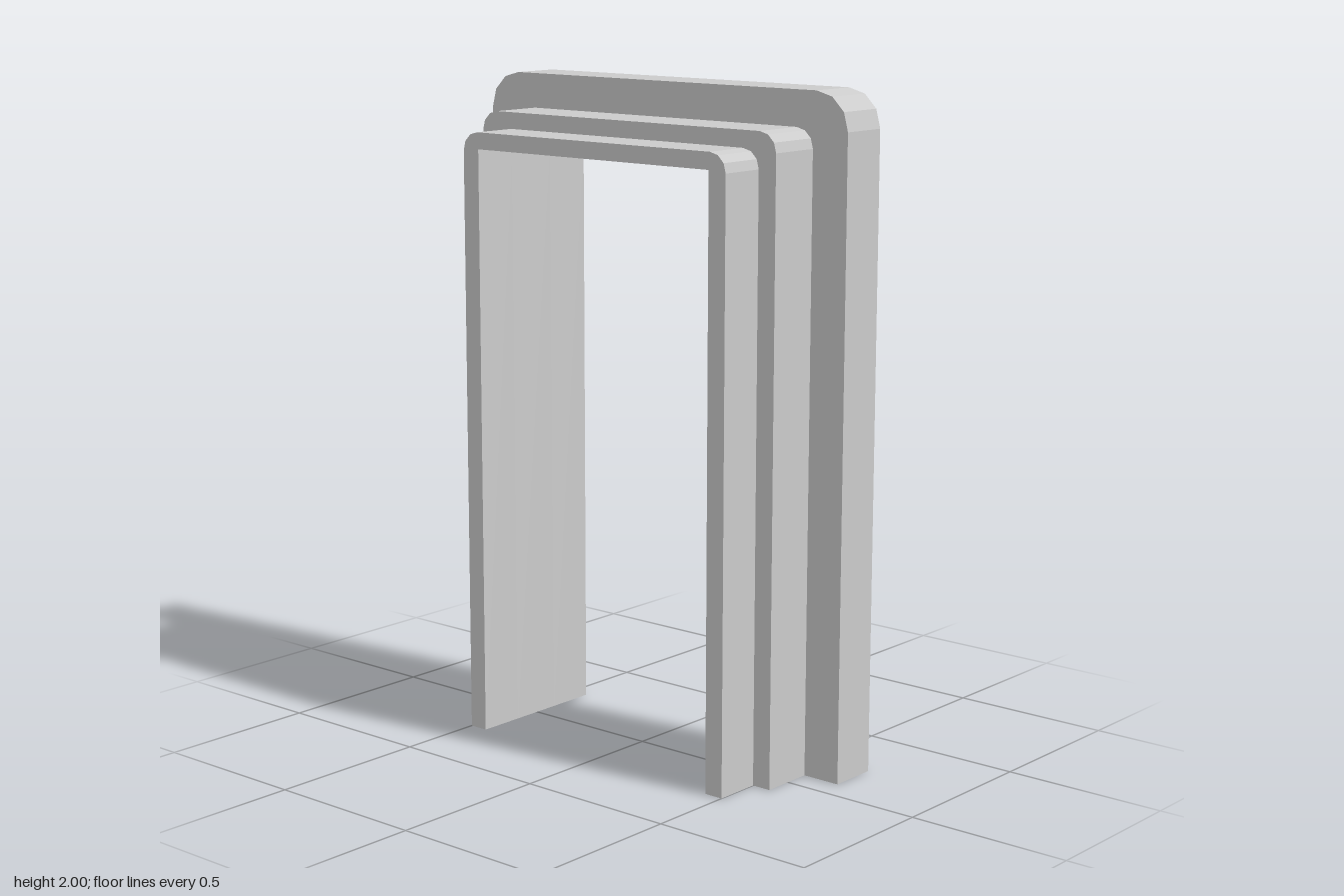
import * as THREE from 'three';

const INNER_HALF = 0.44;
const INNER_TOP = 1.795;
const CORNER_STEPS = 3;

// Upside-down U outline with faceted outer corners and a square opening
function archShape(half, top, radius) {
  const points = [new THREE.Vector2(INNER_HALF, 0), new THREE.Vector2(half, 0)];
  for (const side of [1, -1]) {
    for (let i = 0; i <= CORNER_STEPS; i++) {
      const t = (i / CORNER_STEPS) * Math.PI / 2;
      const a = side > 0 ? t : Math.PI / 2 + t;
      points.push(new THREE.Vector2(
        side * (half - radius) + radius * Math.cos(a),
        top - radius + radius * Math.sin(a)
      ));
    }
  }
  points.push(
    new THREE.Vector2(-half, 0),
    new THREE.Vector2(-INNER_HALF, 0),
    new THREE.Vector2(-INNER_HALF, INNER_TOP),
    new THREE.Vector2(INNER_HALF, INNER_TOP)
  );
  return new THREE.Shape(points);
}

export function createModel() {
  const group = new THREE.Group();
  group.name = 'steppedDoorFrame';
  const material = new THREE.MeshStandardMaterial({ color: 0xcccccc, flatShading: true });

  // Three nested arches stepping inward from back to front
  const steps = [
    { name: 'backArch', half: 0.68, top: 2, radius: 0.11, z0: -0.232, z1: -0.08 },
    { name: 'middleArch', half: 0.56, top: 1.895, radius: 0.058, z0: -0.08, z1: 0.087 },
    { name: 'frontArch', half: 0.5, top: 1.845, radius: 0.056, z0: 0.087, z1: 0.232 },
  ];
  for (const { name, half, top, radius, z0, z1 } of steps) {
    const geometry = new THREE.ExtrudeGeometry(archShape(half, top, radius), {
      depth: z1 - z0,
      bevelEnabled: false,
    });
    const mesh = new THREE.Mesh(geometry, material);
    mesh.name = name;
    mesh.position.z = z0;
    group.add(mesh);
  }
  return group;
}
